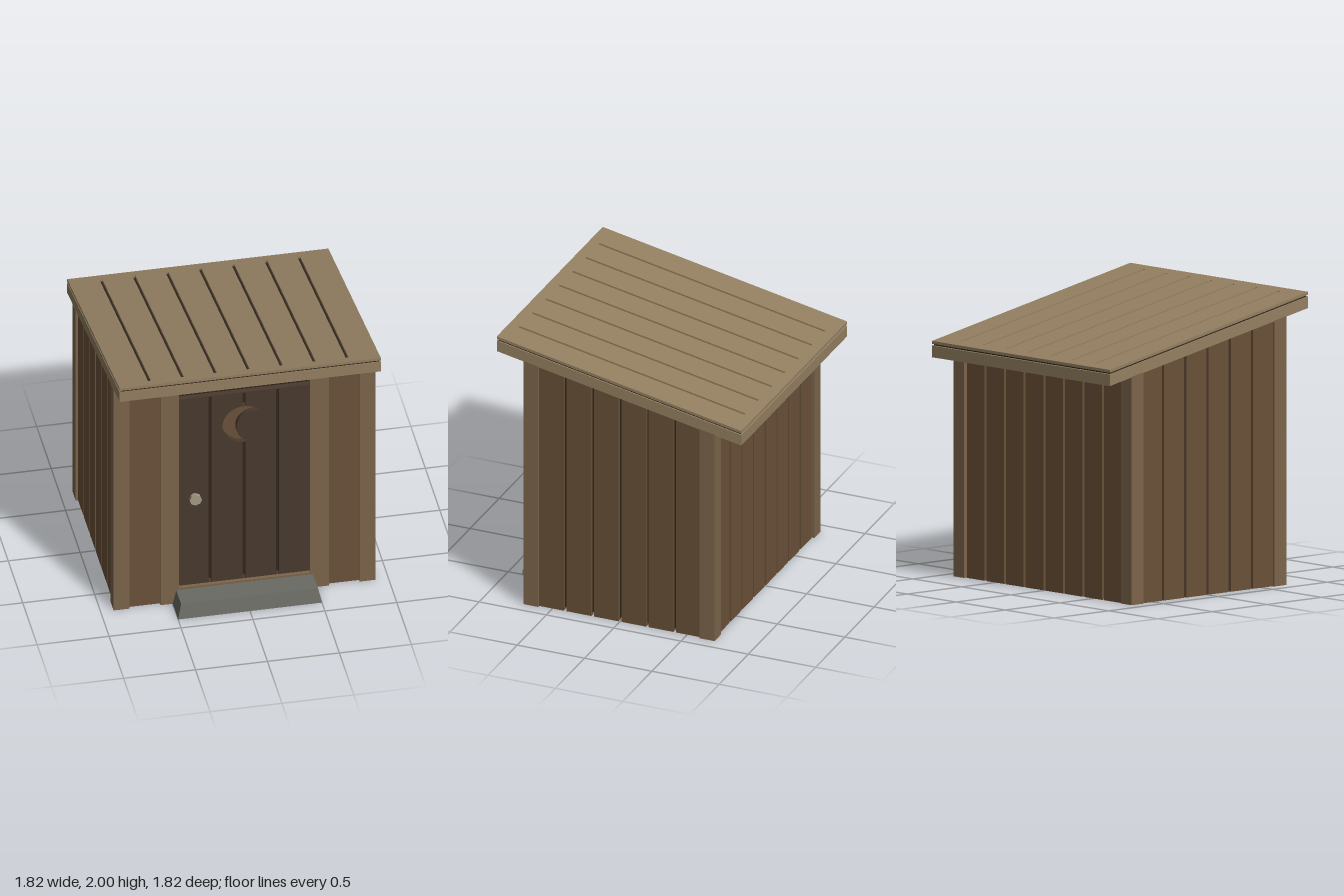
import * as THREE from 'three';

const COLORS = {
  post: 0x7c654b, plank: 0x6a5139, dark: 0x32271f, door: 0x49392d,
  roof: 0x948061, stone: 0x696a64, knob: 0xa39a82,
};
const mats = {};
for (const k in COLORS) mats[k] = new THREE.MeshStandardMaterial({ color: COLORS[k], flatShading: true });

const SLOPE = 0.198;
const eaveY = (z) => 1.708 + SLOPE * z; // underside of the roof

function add(group, geo, mat, name) {
  const mesh = new THREE.Mesh(geo, mats[mat]);
  mesh.name = name;
  group.add(mesh);
  return mesh;
}

// Box given by its limits
function span(x0, x1, y0, y1, z0, z1) {
  const g = new THREE.BoxGeometry(x1 - x0, y1 - y0, z1 - z0);
  return g.translate((x0 + x1) / 2, (y0 + y1) / 2, (z0 + z1) / 2);
}

// Upright box whose top is cut to the pitch of the roof
function pitched(x0, x1, z0, z1, y0 = 0) {
  const g = span(x0, x1, y0, 1, z0, z1);
  const p = g.attributes.position;
  for (let i = 0; i < p.count; i++) if (p.getY(i) > 0.5) p.setY(i, eaveY(p.getZ(i)) + 0.005);
  g.computeVertexNormals();
  return g;
}

function rect(Type, x0, x1, y0, y1) {
  const s = new Type();
  s.moveTo(x0, y0);
  s.lineTo(x1, y0);
  s.lineTo(x1, y1);
  s.lineTo(x0, y1);
  s.closePath();
  return s;
}

// Horizontal slab sheared to the roof pitch, lying `lift` above the underside
function roofSlab(half, lift, thick, holes = []) {
  const s = rect(THREE.Shape, -half, half, -half, half);
  s.holes.push(...holes);
  const g = new THREE.ExtrudeGeometry(s, { depth: thick, bevelEnabled: false });
  g.rotateX(-Math.PI / 2);
  const p = g.attributes.position;
  for (let i = 0; i < p.count; i++) p.setY(i, p.getY(i) + lift + eaveY(p.getZ(i)));
  g.computeVertexNormals();
  return g;
}

function buildWalls() {
  const walls = new THREE.Group();
  walls.name = 'walls';
  add(walls, pitched(-0.87, 0.87, -0.67, 0.64, 0.02), 'dark', 'innerShell');
  const gap = 0.01;
  for (const s of [-1, 1]) {
    const mirror = (a, b) => [Math.min(s * a, s * b), Math.max(s * a, s * b)];
    const post = mirror(0.8, 0.91);
    add(walls, pitched(...post, 0.6, 0.71), 'post', 'frontPost');
    add(walls, pitched(...post, -0.71, -0.6), 'post', 'backPost');
    add(walls, pitched(...mirror(0.58, 0.8), 0.63, 0.69), 'plank', 'frontPlank');
    add(walls, pitched(...mirror(0.455, 0.585), 0.63, 0.713), 'post', 'doorJamb');
    // Six planks per side
    for (let i = 0; i < 6; i++) {
      const z = -0.61 + i * 0.2033;
      add(walls, pitched(...mirror(0.85, 0.893), z + gap, z + 0.2033 - gap), 'plank', 'sidePlank');
    }
  }
  // Eight planks across the back
  for (let i = 0; i < 8; i++) {
    const x = -0.8 + i * 0.2;
    add(walls, pitched(x + gap, x + 0.2 - gap, -0.693, -0.65), 'plank', 'backPlank');
  }
  add(walls, pitched(-0.455, 0.455, 0.63, 0.711, 1.68), 'post', 'doorHeader');
  add(walls, span(-0.455, 0.455, 0.02, 0.125, 0.63, 0.711), 'post', 'doorSill');
  return walls;
}

function buildDoor() {
  const door = new THREE.Group();
  door.name = 'door';
  const leaf = rect(THREE.Shape, -0.455, 0.455, 0.12, 1.685);
  // Crescent from two arcs that share their tips
  const [cy, R, ix, iy, r] = [1.42, 0.148, 0.075, 1.395, 0.127];
  const tips = [[0.11, 1.517], [0.023, 1.274]];
  const angle = (t, x, y) => Math.atan2(t[1] - y, t[0] - x);
  const moon = new THREE.Path();
  moon.absarc(0, cy, R, angle(tips[0], 0, cy), angle(tips[1], 0, cy) + 2 * Math.PI, false);
  moon.absarc(ix, iy, r, angle(tips[1], ix, iy) + 2 * Math.PI, angle(tips[0], ix, iy), true);
  moon.closePath();
  leaf.holes.push(moon);
  // Grooves between the door boards, the middle one broken by the crescent
  for (const [x, y0, y1] of [[-0.235, 0.126, 1.679], [0.235, 0.126, 1.679], [0, 0.126, 1.268], [0, 1.572, 1.679]]) {
    leaf.holes.push(rect(THREE.Path, x - 0.011, x + 0.011, y0, y1));
  }
  const geo = new THREE.ExtrudeGeometry(leaf, { depth: 0.04, bevelEnabled: false, curveSegments: 24 });
  add(door, geo.translate(0, 0, 0.645), 'door', 'doorLeaf');
  // Panel seen through the crescent
  const back = new THREE.ShapeGeometry(new THREE.Shape(moon.getPoints(24)));
  add(door, back.translate(0, 0, 0.648), 'plank', 'crescentPanel');

  // Eight-sided knob on a stem
  const knob = new THREE.Group();
  knob.name = 'knob';
  const stem = new THREE.CylinderGeometry(0.02, 0.02, 0.05, 8).rotateX(Math.PI / 2);
  add(knob, stem.translate(0, 0, 0.7), 'knob', 'knobStem');
  const head = new THREE.CylinderGeometry(0.043, 0.04, 0.03, 8).rotateX(Math.PI / 2);
  add(knob, head.translate(0, 0, 0.73), 'knob', 'knobHead');
  knob.position.set(-0.345, 0.868, 0);
  door.add(knob);
  return door;
}

function buildRoof() {
  const roof = new THREE.Group();
  roof.name = 'roof';
  add(roof, roofSlab(0.908, 0, 0.08), 'roof', 'roofFrame');
  add(roof, roofSlab(0.898, 0.078, 0.016), 'dark', 'roofSeam');
  const slots = [];
  for (let i = -3; i <= 3; i++) {
    slots.push(rect(THREE.Path, i * 0.229 - 0.01, i * 0.229 + 0.01, -0.84, 0.84));
  }
  add(roof, roofSlab(0.908, 0.092, 0.02, slots), 'roof', 'roofBoards');
  return roof;
}

function buildStep() {
  // Block tapered at the front and both ends
  const g = span(-0.5, 0.5, 0, 0.11, 0.69, 0.9);
  const p = g.attributes.position;
  for (let i = 0; i < p.count; i++) {
    if (p.getY(i) < 0.05) continue;
    p.setX(i, Math.sign(p.getX(i)) * 0.475);
    if (p.getZ(i) > 0.8) p.setZ(i, 0.878);
  }
  g.computeVertexNormals();
  return g;
}

export function createModel() {
  const model = new THREE.Group();
  model.name = 'shed';
  model.add(buildWalls(), buildDoor(), buildRoof());
  add(model, buildStep(), 'stone', 'doorStep');
  return model;
}
